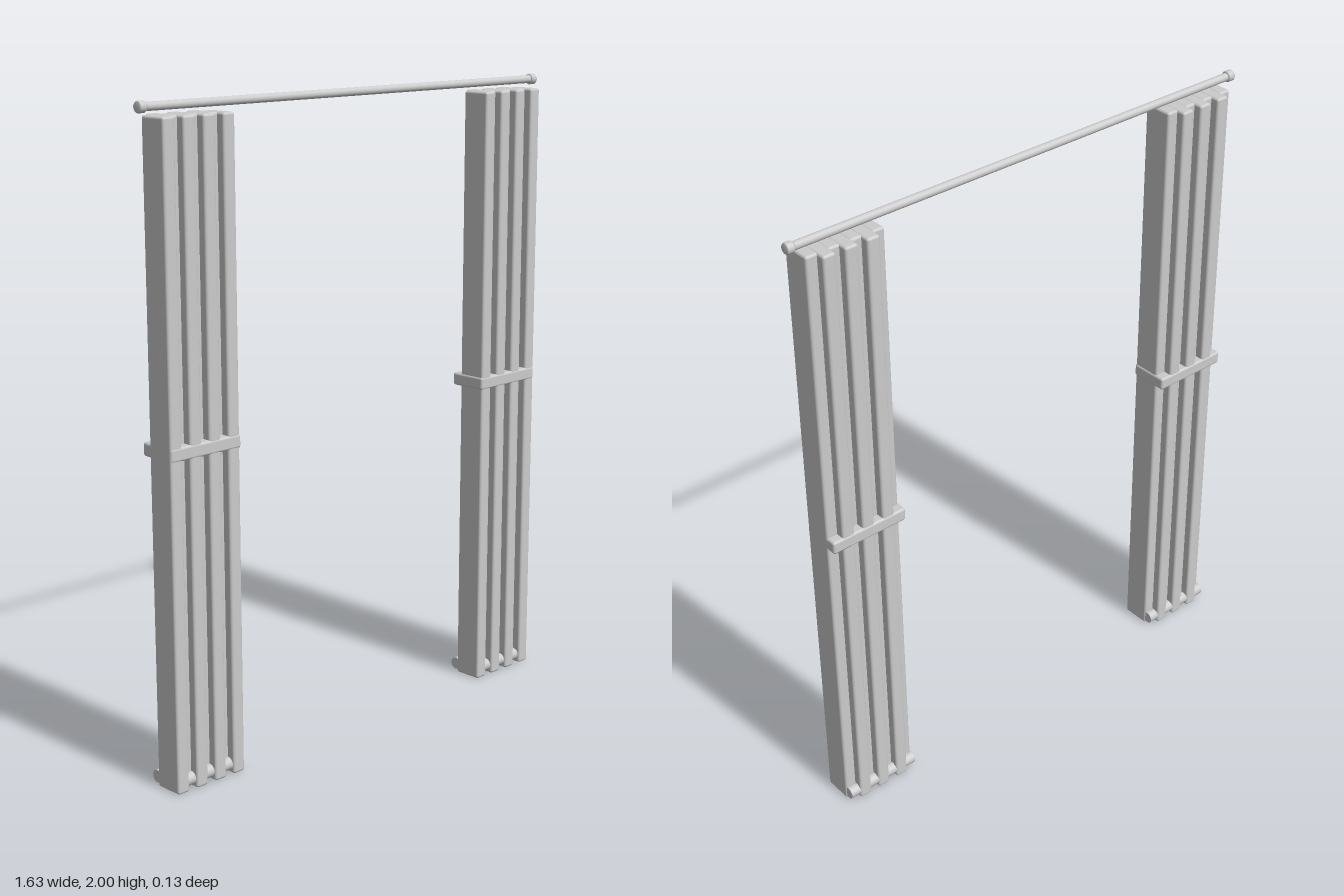
import * as THREE from 'three';
import { RoundedBoxGeometry } from 'three/addons/geometries/RoundedBoxGeometry.js';

const grey = new THREE.MeshStandardMaterial({ color: 0xcccccc });

function add(parent, name, geometry, x, y, z) {
  const mesh = new THREE.Mesh(geometry, grey);
  mesh.name = name;
  mesh.position.set(x, y, z);
  parent.add(mesh);
  return mesh;
}

// One gathered curtain: side is +1 or -1
function createCurtain(side) {
  const curtain = new THREE.Group();
  curtain.name = side > 0 ? 'leftCurtain' : 'rightCurtain';
  curtain.position.x = side * 0.648;

  const height = 1.955, pitch = 0.0355;
  const frontPleat = new RoundedBoxGeometry(0.042, height, 0.095, 2, 0.008);
  const backPleat = new RoundedBoxGeometry(0.042, height, 0.095, 2, 0.008);
  const weight = new THREE.CylinderGeometry(0.02, 0.02, 0.036, 16).rotateZ(Math.PI / 2);

  // Seven folds alternate forward and back, each with a hem weight in its hollow
  for (let i = 0; i < 7; i++) {
    const x = (i - 3) * pitch;
    const forward = i % 2 === 0;
    add(curtain, forward ? 'frontPleat' : 'backPleat', forward ? frontPleat : backPleat,
      x, 0.003 + height / 2, forward ? 0.0135 : -0.0145);
    add(curtain, 'hemWeight', weight, x, 0.031, forward ? -0.041 : 0.035);
  }

  // Tieback band around the folds
  add(curtain, 'tieback', new RoundedBoxGeometry(0.258, 0.042, 0.127, 2, 0.008),
    -side * 0.002, 1.022, -0.001);
  return curtain;
}

export function createModel() {
  const model = new THREE.Group();
  model.name = 'curtains';

  // Rod with a bevelled cap at each end
  const rodY = 1.983;
  add(model, 'rod', new THREE.CylinderGeometry(0.0125, 0.0125, 1.6, 24).rotateZ(Math.PI / 2), 0, rodY, 0);
  const capProfile = [[0, -0.013], [0.014, -0.013], [0.017, -0.009], [0.017, 0.009], [0.014, 0.013], [0, 0.013]]
    .map(([r, y]) => new THREE.Vector2(r, y));
  const cap = new THREE.LatheGeometry(capProfile, 24).rotateZ(Math.PI / 2);
  for (const side of [-1, 1]) {
    add(model, 'rodCap', cap, side * 0.802, rodY, 0);
    model.add(createCurtain(side));
  }
  return model;
}
